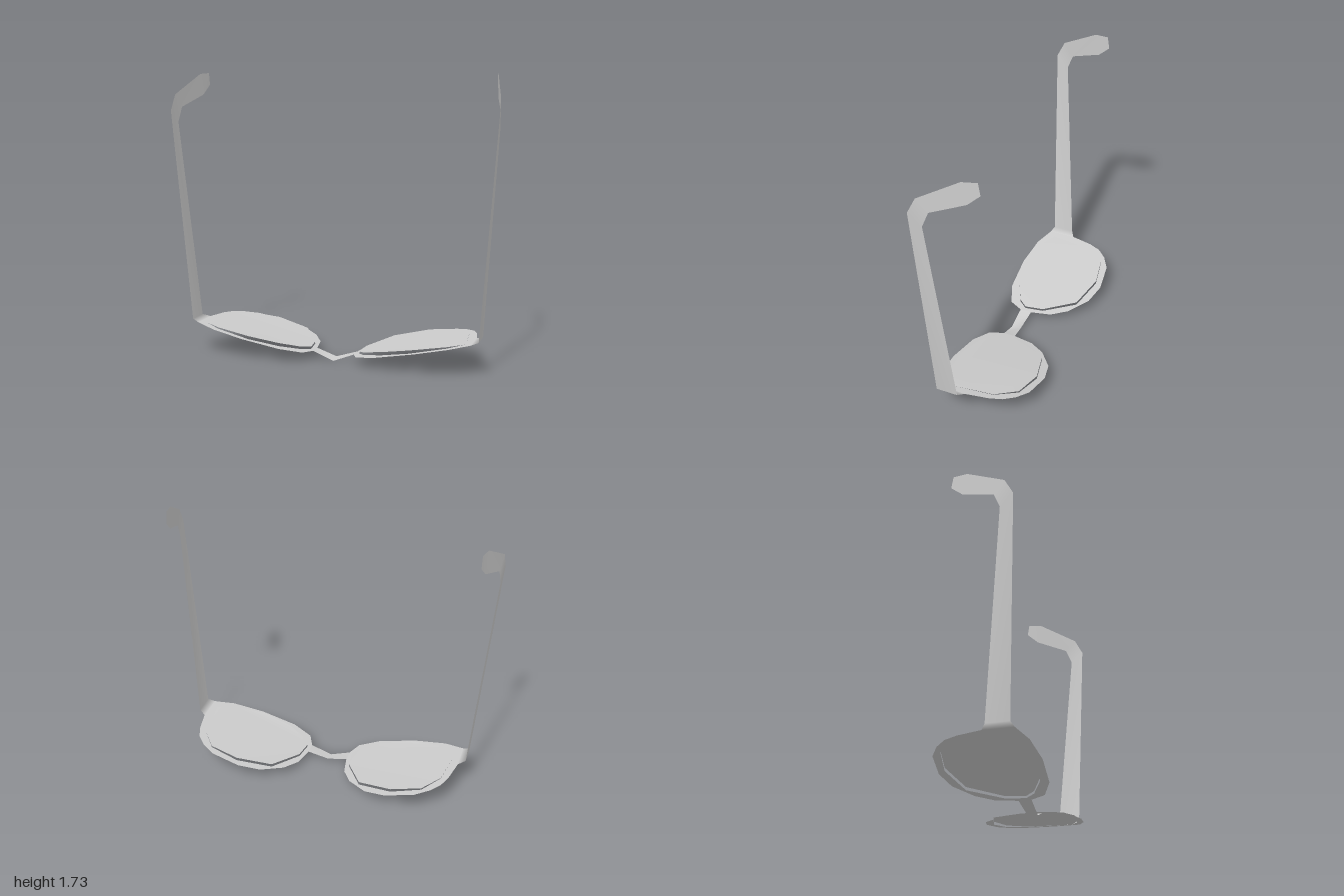
import * as THREE from 'three';

const material = new THREE.MeshStandardMaterial({ color: 0xcccccc, side: THREE.DoubleSide });

// Outlines of one side as [x, z]
const rimOutline = [
  [0.13, 0.135], [0.17, 0.22], [0.3, 0.275], [0.535, 0.292], [0.735, 0.27], [0.858, 0.222],
  [0.858, 0.05], [0.83, -0.09], [0.8, -0.165], [0.745, -0.225], [0.66, -0.275], [0.48, -0.297],
  [0.345, -0.265], [0.22, -0.17], [0.155, -0.07], [0.13, 0.06],
];
const lensOutline = [
  [0.152, 0.11], [0.195, 0.165], [0.32, 0.227], [0.505, 0.26], [0.72, 0.232], [0.82, 0.18],
  [0.785, -0.1], [0.69, -0.222], [0.505, -0.256], [0.29, -0.2], [0.168, -0.01],
];

// The front slopes up from the nose to the hinge; the lens bows slightly above it
const rimHeight = (x) => 0.05 + 0.194 * (Math.abs(x) - 0.13);
const lensHeight = (x) => rimHeight(x) + 0.02 * (1 - ((Math.abs(x) - 0.4) / 0.42) ** 2);

function named(name, geometry) {
  geometry.computeVertexNormals();
  const mesh = new THREE.Mesh(geometry, material);
  mesh.name = name;
  return mesh;
}

// Flat outline laid over a height rule
function sheet(name, outline, side, height, hole) {
  const points = (list) => list.map(([x, z]) => new THREE.Vector2(side * x, -z));
  const shape = new THREE.Shape(points(outline));
  if (hole) shape.holes.push(new THREE.Path(points(hole)));
  const geometry = new THREE.ShapeGeometry(shape);
  geometry.rotateX(-Math.PI / 2);
  const p = geometry.attributes.position;
  for (let i = 0; i < p.count; i++) p.setY(i, height(p.getX(i)));
  return named(name, geometry);
}

// Thin band through rows of [front point, back point]
function band(name, rows, side = 1) {
  const positions = rows.flat().flatMap(([x, y, z]) => [side * x, y, z]);
  const index = [];
  for (let i = 0; i < rows.length - 1; i++) {
    const a = i * 2;
    if (side > 0) index.push(a, a + 2, a + 1, a + 1, a + 2, a + 3);
    else index.push(a, a + 1, a + 2, a + 1, a + 3, a + 2);
  }
  const geometry = new THREE.BufferGeometry();
  geometry.setAttribute('position', new THREE.Float32BufferAttribute(positions, 3));
  geometry.setIndex(index);
  return named(name, geometry);
}

// Hinge tab, long arm and bent ear tip
const templeRows = [
  [[0.858, rimHeight(0.858), 0.222], [0.858, rimHeight(0.858), 0.05]],
  [[0.9, 0.208, 0.21], [0.9, 0.208, 0.077]],
  [[1, 1.5, 0.25], [0.991, 1.43, 0.173]],
  [[0.995, 1.597, 0.2], [0.983, 1.52, 0.136]],
  [[0.938, 1.72, -0.032], [0.934, 1.59, -0.06]],
  [[0.92, 1.725, -0.118], [0.92, 1.652, -0.13]],
];

const bridgeRows = [
  [[-0.13, 0.05, 0.135], [-0.13, 0.05, 0.06]],
  [[0, 0, 0.14], [0, 0.012, 0.075]],
  [[0.13, 0.05, 0.135], [0.13, 0.05, 0.06]],
];

export function createModel() {
  const model = new THREE.Group();
  model.name = 'sunglasses';
  for (const [label, side] of [['left', 1], ['right', -1]]) {
    model.add(
      sheet(label + 'Rim', rimOutline, side, rimHeight, lensOutline),
      sheet(label + 'Lens', lensOutline, side, lensHeight),
      band(label + 'Temple', templeRows, side),
    );
  }
  model.add(band('bridge', bridgeRows));
  return model;
}
